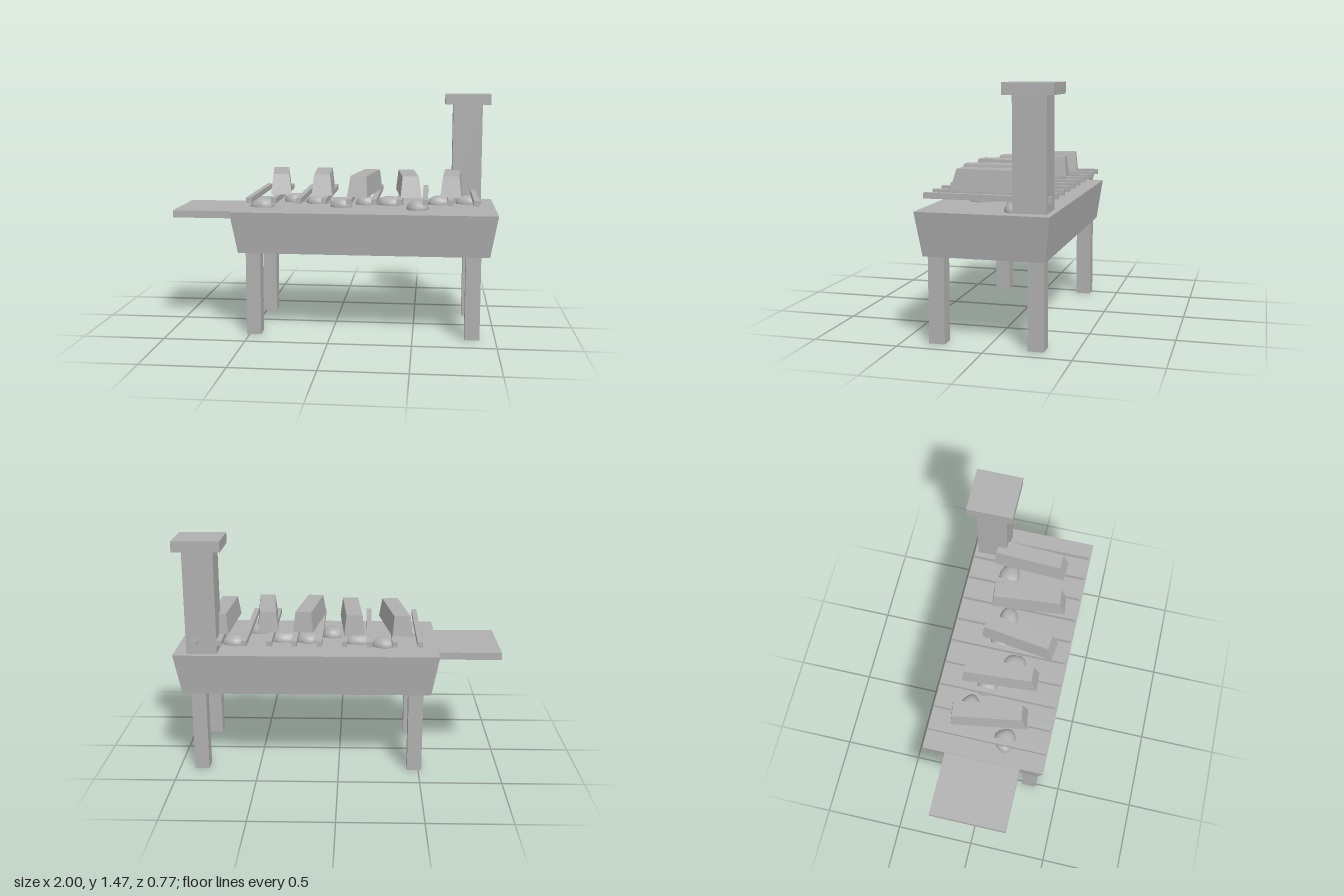
import * as THREE from 'three';
import { mergeVertices } from 'three/addons/utils/BufferGeometryUtils.js';

const gray = new THREE.MeshStandardMaterial({ color: 0xb0b0b0 });
gray.name = 'plain gray';

function add(group, name, geometry, x = 0, y = 0, z = 0) {
  const mesh = new THREE.Mesh(geometry, gray);
  mesh.name = name;
  mesh.position.set(x, y, z);
  group.add(mesh);
  return mesh;
}

// box given by its extents on each axis
function block(group, name, [x0, x1], [y0, y1], [z0, z1]) {
  return add(group, name, new THREE.BoxGeometry(x1 - x0, y1 - y0, z1 - z0),
    (x0 + x1) / 2, (y0 + y1) / 2, (z0 + z1) / 2);
}

// box whose vertices are passed through a rule
function shapedBox(w, h, d, rule) {
  const g = new THREE.BoxGeometry(w, h, d);
  const p = g.attributes.position;
  const v = new THREE.Vector3();
  for (let i = 0; i < p.count; i++) {
    rule(v.fromBufferAttribute(p, i));
    p.setXYZ(i, v.x, v.y, v.z);
  }
  g.computeVertexNormals();
  return g;
}

// flattened, slightly irregular pebble
function coalGeometry(seed) {
  let g = new THREE.IcosahedronGeometry(1, 2);
  g.deleteAttribute('normal');
  g.deleteAttribute('uv');
  g = mergeVertices(g);
  const p = g.attributes.position;
  const v = new THREE.Vector3();
  for (let i = 0; i < p.count; i++) {
    v.fromBufferAttribute(p, i);
    const r = 1 + 0.07 * Math.sin(3 * v.x + seed * 2.3) + 0.06 * Math.sin(4 * v.z + seed * 1.7);
    p.setXYZ(i, v.x * r * 0.076, Math.max(-0.8, Math.min(0.85, v.y * r)) * 0.054, v.z * r * 0.066);
  }
  g.computeVertexNormals();
  return g;
}

export function createModel() {
  const model = new THREE.Group();
  model.name = 'grill';

  // trough with sides leaning outward
  add(model, 'trough', shapedBox(1.61, 0.255, 0.76, (v) => {
    if (v.y < 0) { v.x *= 0.945; v.z *= 0.915; }
  }), 0.195, 0.6375, 0.005);

  // four legs
  for (const x of [-0.475, 0.86])
    for (const z of [0.295, -0.278])
      block(model, 'leg', [x - 0.045, x + 0.045], [0, 0.52], [z - 0.047, z + 0.047]);

  // side shelf
  block(model, 'sideShelf', [-1, -0.59], [0.705, 0.75], [-0.235, 0.24]);

  // chimney and its cap
  block(model, 'chimney', [0.735, 0.92], [0.76, 1.4], [-0.34, -0.15]);
  block(model, 'chimneyCap', [0.685, 0.97], [1.4, 1.465], [-0.39, -0.105]);

  // grate bars
  for (let i = 0; i < 10; i++) {
    const x = -0.49 + i * 0.151;
    block(model, 'grateBar', [x - 0.016, x + 0.016], [0.822, 0.855], [-0.36, 0.372]);
  }

  // tapered slabs lying across the grate: x, z, turn in degrees
  const slab = shapedBox(0.126, 0.125, 0.468, (v) => {
    if (v.y > 0) {
      v.x *= 0.78;
      v.z += v.z > 0 ? -0.036 : 0.012;
    }
  });
  const slabs = [[-0.352, -0.01, 9], [-0.08, -0.002, 4], [0.19, 0.06, -8], [0.46, 0.06, 5.5], [0.73, 0.015, -2.5]];
  for (const [x, z, turn] of slabs)
    add(model, 'slab', slab, x, 0.9175, z).rotation.y = THREE.MathUtils.degToRad(turn);

  // coals half sunk in the trough: x, z
  const coals = [[-0.455, 0.11], [-0.28, -0.15], [-0.12, -0.08], [0.04, 0.06], [0.2, -0.06],
    [0.345, -0.05], [0.52, 0.14], [0.66, -0.11], [0.84, -0.15]];
  coals.forEach(([x, z], i) => add(model, 'coal', coalGeometry(i), x, 0.77, z));

  return model;
}
